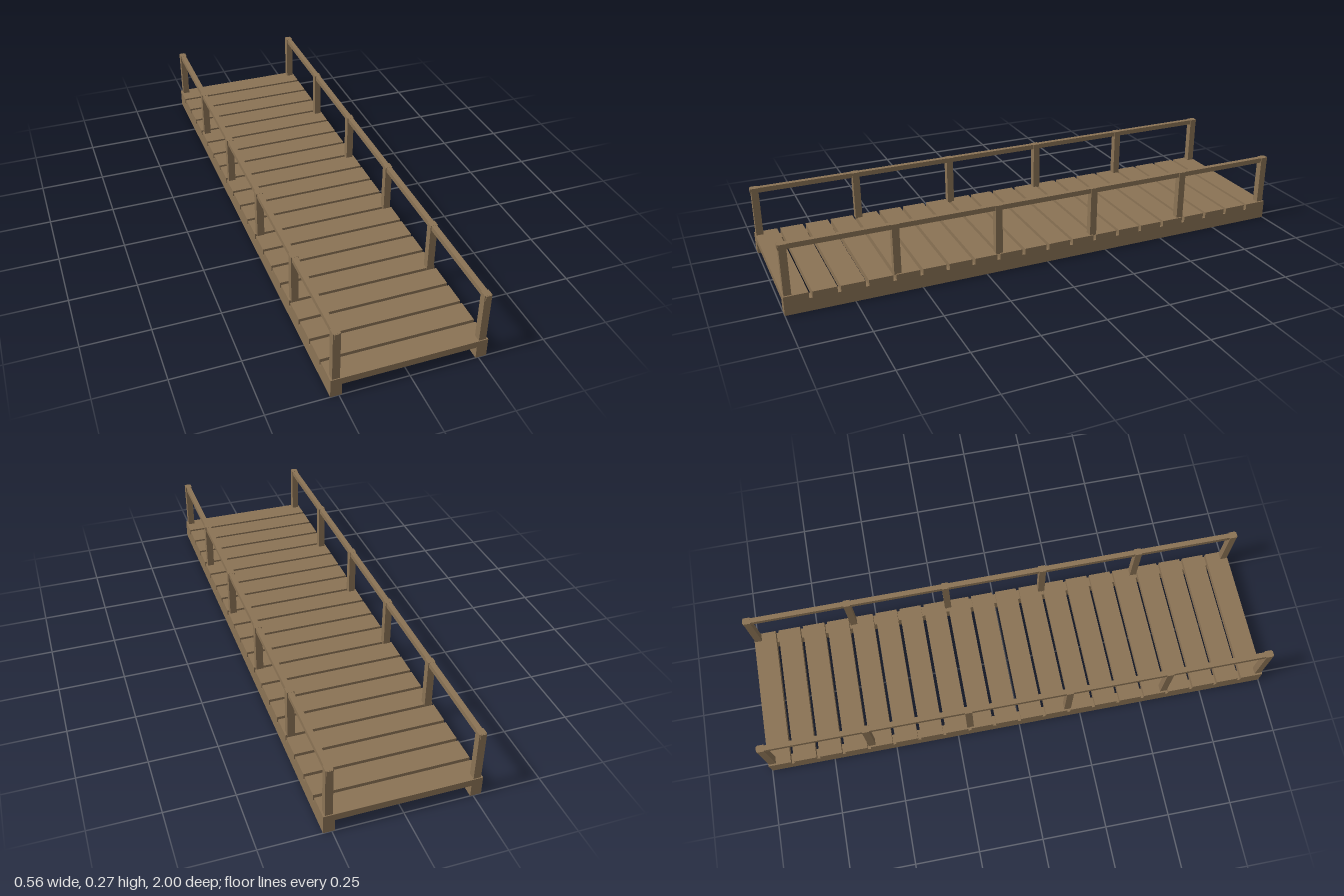
import * as THREE from 'three';

export function createModel() {
  const bridge = new THREE.Group();
  bridge.name = 'footbridge';
  const wood = new THREE.MeshStandardMaterial({ color: 0x8b7355 });
  wood.name = 'wood';

  // Box spanning yMin to yMax, centred on x and z
  function beam(name, width, yMin, yMax, depth, x, z) {
    const mesh = new THREE.Mesh(new THREE.BoxGeometry(width, yMax - yMin, depth), wood);
    mesh.name = name;
    mesh.position.set(x, (yMin + yMax) / 2, z);
    bridge.add(mesh);
  }

  // Deck planks with narrow gaps
  const planks = 20;
  const gap = 0.012;
  const pitch = (2 + gap) / planks;
  for (let i = 0; i < planks; i++) {
    beam('plank', 0.56, 0.047, 0.073, pitch - gap, 0, (i - (planks - 1) / 2) * pitch);
  }

  // Stringers, posts and handrails on both sides
  const posts = 6;
  for (const side of [-1, 1]) {
    beam('stringer', 0.04, 0, 0.05, 2, side * 0.26, 0);
    for (let i = 0; i < posts; i++) {
      const z = -0.983 + (i * 1.966) / (posts - 1);
      beam('post', 0.027, 0.07, 0.2665, 0.027, side * 0.26, z);
    }
    beam('handrail', 0.02, 0.247, 0.266, 2, side * 0.26, 0);
  }
  return bridge;
}
